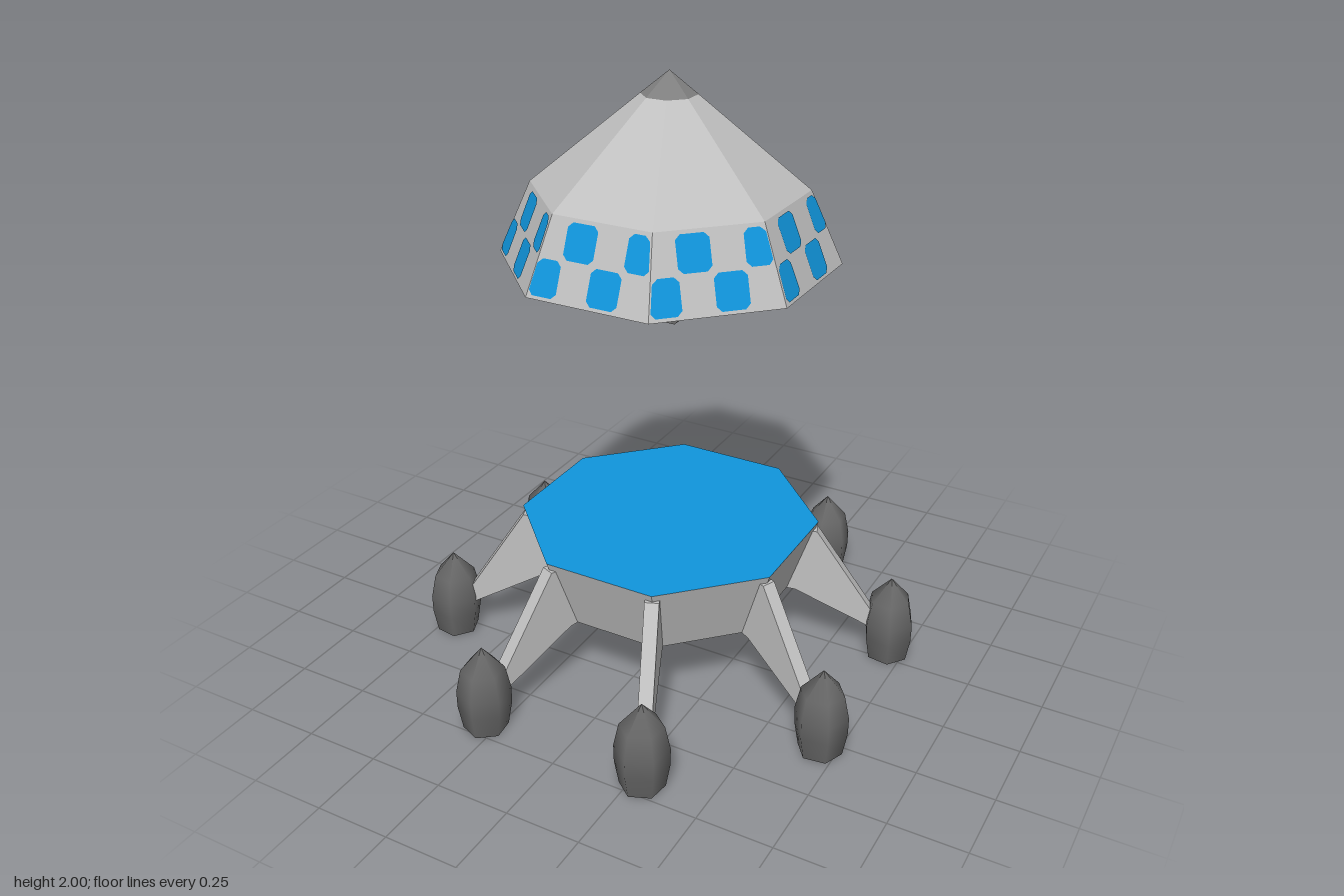
import * as THREE from 'three';

const material = (name, color) => {
  const m = new THREE.MeshStandardMaterial({ color });
  m.name = name;
  return m;
};

// Faceted solid from [apothem, y] points listed upwards; flats face the axes when turned
function faceted(profile, sides, turned = true) {
  const scale = turned ? 1 / Math.cos(Math.PI / sides) : 1;
  const points = profile.map(([r, y]) => new THREE.Vector2(r * scale, y));
  let g = new THREE.LatheGeometry(points, sides);
  if (turned) g.rotateY(Math.PI / sides);
  g = g.toNonIndexed();
  g.computeVertexNormals();
  return g;
}

const polygon = (pts) => new THREE.Shape(pts.map(([x, y]) => new THREE.Vector2(x, y)));

// Four-sided patch with trimmed corners
function patch(corners) {
  const pts = [];
  corners.forEach((p, i) => {
    for (const q of [corners[(i + 3) % 4], corners[(i + 1) % 4]]) {
      const t = 0.015 / Math.hypot(q[0] - p[0], q[1] - p[1]);
      pts.push([p[0] + (q[0] - p[0]) * t, p[1] + (q[1] - p[1]) * t]);
    }
  });
  return new THREE.ShapeGeometry(polygon(pts));
}

export function createModel() {
  const grey = material('hull grey', 0xc0c0c0);
  const midGrey = material('cap grey', 0x7f7f7f);
  const darkGrey = material('foot grey', 0x666666);
  const blue = material('blue', 0x1095dc);
  const brown = material('brown', 0x9c5c28);
  const yellow = material('yellow', 0xf5f500);

  const model = new THREE.Group();
  model.name = 'lander';
  const add = (parent, name, geometry, mat) => {
    const mesh = new THREE.Mesh(geometry, mat);
    mesh.name = name;
    parent.add(mesh);
    return mesh;
  };

  // Upper capsule
  const capsule = new THREE.Group();
  capsule.name = 'capsule';
  model.add(capsule);
  add(capsule, 'skirt', faceted([[0.49, 1.42], [0.395, 1.65]], 8), grey);
  add(capsule, 'cone', faceted([[0.395, 1.65], [0.08, 1.93]], 8), grey);
  add(capsule, 'noseCap', faceted([[0.08, 1.93], [0, 2]], 8), midGrey);
  add(capsule, 'rim', faceted([[0, 1.42], [0.49, 1.42]], 8), yellow);
  add(capsule, 'underside', faceted([[0, 1.417], [0.475, 1.417]], 8), grey);
  add(capsule, 'lowerPyramid', faceted([[0, 1.217], [0.04, 1.217], [0.245, 1.417]], 4), grey);

  // Chequered band: four columns and two rows on each side of the skirt
  const slope = Math.hypot(0.095, 0.23);
  const halfWidth = (v) => (0.49 - 0.095 * v / slope) * Math.tan(Math.PI / 8);
  const columns = (v) => [-halfWidth(v) + 0.004, -0.103, -0.003, 0.097, halfWidth(v) - 0.004];
  const rows = [[0.012, 0.122], [0.128, 0.238]];
  for (let side = 0; side < 8; side++) {
    const panel = new THREE.Group();
    panel.name = 'chequerPanel';
    panel.rotation.y = side * Math.PI / 4;
    capsule.add(panel);
    rows.forEach(([v0, v1], row) => {
      for (let c = row; c < 4; c += 2) {
        const a = columns(v0), b = columns(v1);
        const square = add(panel, 'chequer',
          patch([[a[c], v0], [a[c + 1], v0], [b[c + 1], v1], [b[c], v1]]), blue);
        square.position.set(0, 1.42, 0.493);
        square.rotation.x = -Math.atan2(0.095, 0.23);
      }
    });
  }

  // Descent stage
  add(model, 'base', faceted([[0, 0.255], [0.38, 0.255], [0.46, 0.505]], 8), grey);
  add(model, 'deck', faceted([[0.46, 0.505], [0, 0.505]], 8), blue);
  add(model, 'nozzle',
    faceted([[0, 0.12], [0.158, 0.12], [0.135, 0.2], [0.085, 0.256]], 8, false), brown);

  // Eight legs, one at each corner of the base
  const strut = new THREE.ExtrudeGeometry(
    polygon([[0.38, 0.258], [0.43, 0.25], [0.71, 0.105], [0.71, 0.15], [0.495, 0.48], [0.44, 0.48]]),
    { depth: 0.046, bevelEnabled: false });
  strut.translate(0, 0, -0.023);
  const footProfile = [[0.072, 0], [0.086, 0.08], [0.087, 0.14], [0.07, 0.22], [0, 0.3]];
  const foot = new THREE.LatheGeometry(footProfile.map(([r, y]) => new THREE.Vector2(r, y)), 6);
  foot.translate(0.753, 0, 0);
  const sole = faceted([[0, 0], [0.072, 0]], 6, false);
  sole.translate(0.753, 0, 0);
  for (let i = 0; i < 8; i++) {
    const leg = new THREE.Group();
    leg.name = 'leg';
    leg.rotation.y = (i + 0.5) * Math.PI / 4;
    add(leg, 'strut', strut, grey);
    add(leg, 'foot', foot, darkGrey);
    add(leg, 'sole', sole, brown);
    model.add(leg);
  }
  return model;
}
